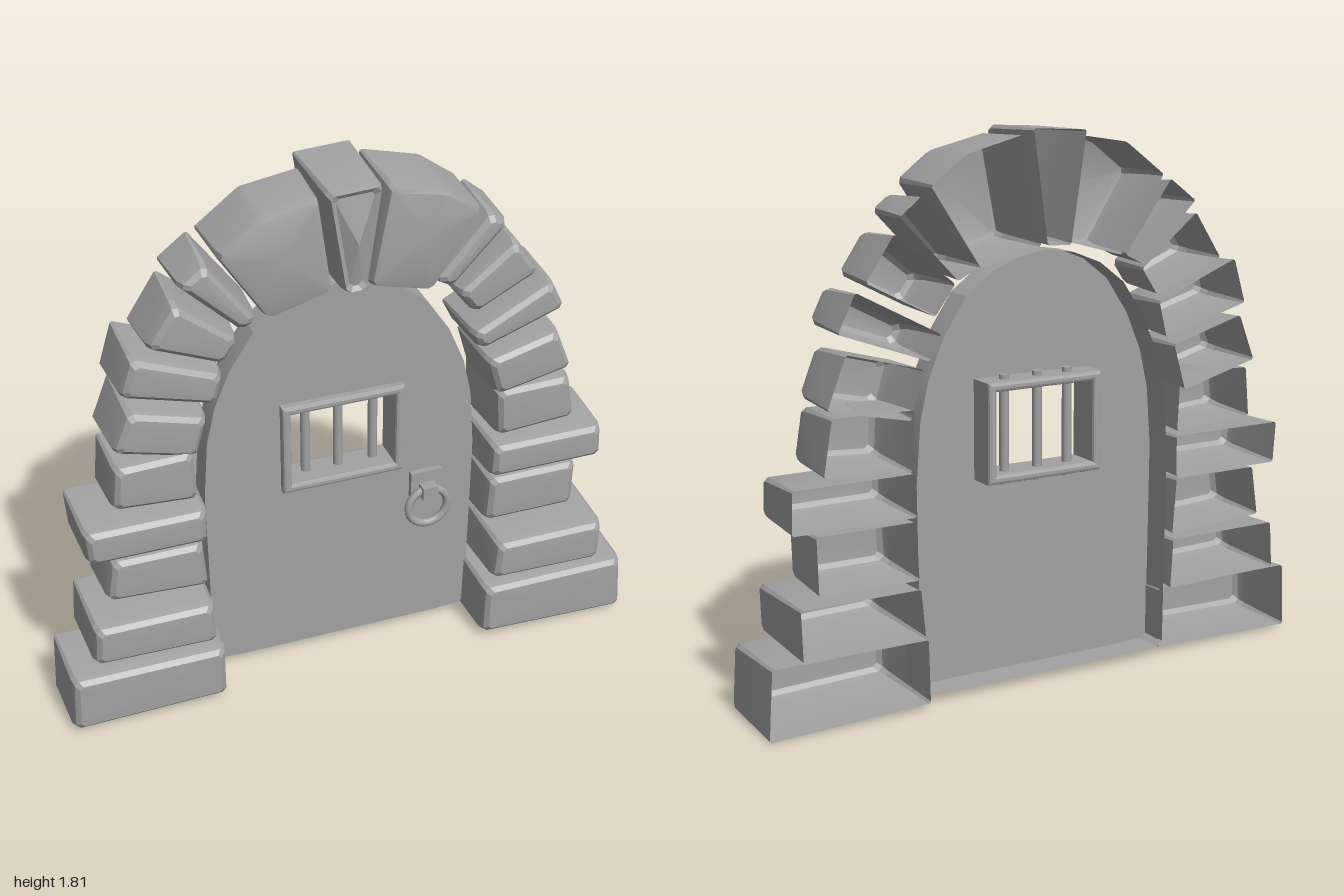
import * as THREE from 'three';
import { toCreasedNormals } from 'three/addons/utils/BufferGeometryUtils.js';

// Joins loops of equal length into a skin; an optional cap point closes the last loop.
function loft(loops, cap) {
  const n = loops[0].length, pos = loops.flat(), index = [];
  for (let k = 0; k < loops.length - 1; k++) {
    for (let i = 0; i < n; i++) {
      const j = (i + 1) % n, a = k * n + i, b = k * n + j;
      index.push(a, b, b + n, a, b + n, a + n);
    }
  }
  if (cap) {
    const c = pos.push(cap) - 1, s = (loops.length - 1) * n;
    for (let i = 0; i < n; i++) index.push(s + i, s + (i + 1) % n, c);
  }
  const g = new THREE.BufferGeometry();
  g.setAttribute('position', new THREE.Float32BufferAttribute(pos.flat(), 3));
  g.setIndex(index);
  return toCreasedNormals(g, 0.3);
}

// Stone hollow at the back: outline given clockwise, with chamfered corners and a bevelled front.
function stoneGeometry(outline, front, back, bulge = 0.006) {
  const p = [];
  for (let i = 0; i < outline.length; i += 2) p.push(new THREE.Vector2(outline[i], outline[i + 1]));
  p.reverse();
  const ring = (inset, chamfer, z) => p.flatMap((v, i) => {
    const toPrev = p[(i + p.length - 1) % p.length].clone().sub(v).normalize();
    const toNext = p[(i + 1) % p.length].clone().sub(v).normalize();
    const inward = toPrev.clone().add(toNext);
    // obtuse corners need a longer push to keep the bevel even
    const sin = Math.abs(toPrev.cross(toNext));
    const c = v.clone().addScaledVector(inward, inset / Math.max(sin, 0.5));
    return [toPrev, toNext].map((d) => [c.x + d.x * chamfer, c.y + d.y * chamfer, z]);
  });
  const mid = p.reduce((s, v) => s.add(v), new THREE.Vector2()).divideScalar(p.length);
  return loft([
    ring(0, 0.006, back),
    ring(0.005, 0.012, front - 0.05),
    ring(0.012, 0.014, front - 0.02),
    ring(0.027, 0.012, front - bulge),
  ], [mid.x, mid.y, front]);
}

// Outline, front z, back z, bulge; listed from the ground up
const rightStones = [
  [[0.455, 0.23, 0.985, 0.23, 1, 0, 0.45, 0.02], 0.185, -0.15],
  [[0.495, 0.41, 0.9, 0.41, 0.895, 0.24, 0.48, 0.25], 0.185, -0.18],
  [[0.495, 0.62, 0.83, 0.62, 0.825, 0.43, 0.485, 0.43], 0.09, -0.15],
  [[0.49, 0.77, 0.9, 0.77, 0.905, 0.63, 0.485, 0.63], 0.12, -0.14],
  [[0.5, 0.975, 0.775, 0.98, 0.805, 0.8, 0.51, 0.78], 0.1, -0.16],
  [[0.46, 1.095, 0.72, 1.165, 0.785, 1, 0.505, 0.94], 0.1, -0.15],
  [[0.405, 1.2, 0.69, 1.35, 0.75, 1.23, 0.445, 1.12], 0.09, -0.16],
  [[0.355, 1.35, 0.56, 1.515, 0.655, 1.375, 0.425, 1.255], 0.08, -0.16],
  [[0.275, 1.4, 0.47, 1.625, 0.545, 1.565, 0.35, 1.36], 0.07, -0.17],
  [[0.115, 1.79, 0.31, 1.74, 0.435, 1.65, 0.265, 1.39, 0.05, 1.445], 0.115, -0.16, 0.015],
];
const leftStones = [
  [[-0.99, 0.23, -0.46, 0.23, -0.46, 0.02, -1, 0.01], 0.175, -0.09],
  [[-0.9, 0.41, -0.49, 0.41, -0.48, 0.24, -0.91, 0.25], 0.16, -0.13],
  [[-0.815, 0.62, -0.5, 0.62, -0.485, 0.43, -0.84, 0.45], 0.1, -0.13],
  [[-0.905, 0.77, -0.49, 0.77, -0.49, 0.63, -0.895, 0.63], 0.13, -0.14],
  [[-0.785, 0.97, -0.515, 0.98, -0.505, 0.78, -0.8, 0.8], 0.1, -0.12],
  [[-0.725, 1.16, -0.46, 1.085, -0.505, 0.93, -0.785, 1.005], 0.09, -0.16],
  [[-0.705, 1.35, -0.405, 1.23, -0.435, 1.11, -0.75, 1.2], 0.09, -0.15],
  [[-0.56, 1.51, -0.35, 1.34, -0.41, 1.25, -0.66, 1.355], 0.09, -0.13],
  [[-0.457, 1.625, -0.285, 1.39, -0.355, 1.355, -0.555, 1.55], 0.09, -0.13],
  [[-0.435, 1.64, -0.29, 1.75, -0.1, 1.78, -0.055, 1.45, -0.275, 1.39], 0.11, -0.12, 0.015],
];
const keystone = [[-0.095, 1.8, 0.095, 1.81, 0.045, 1.45, -0.04, 1.445], 0.14, -0.19, 0.03];

function rectangle(Type, x0, y0, x1, y1) {
  return new Type([[x0, y0], [x1, y0], [x1, y1], [x0, y1]].map((q) => new THREE.Vector2(...q)));
}

export function createModel() {
  const model = new THREE.Group();
  const stoneGrey = new THREE.MeshStandardMaterial({ color: 0xa2a2a2, side: THREE.DoubleSide });
  stoneGrey.name = 'grey';
  const add = (name, geometry, parent = model, x = 0, y = 0, z = 0) => {
    const mesh = new THREE.Mesh(geometry, stoneGrey);
    mesh.name = name;
    mesh.position.set(x, y, z);
    parent.add(mesh);
    return mesh;
  };

  // Stone arch
  const arch = new THREE.Group();
  arch.name = 'stoneArch';
  model.add(arch);
  leftStones.forEach((s, i) => add(`archStoneNegativeX${i + 1}`, stoneGeometry(...s), arch));
  rightStones.forEach((s, i) => add(`archStonePositiveX${i + 1}`, stoneGeometry(...s), arch));
  add('keystone', stoneGeometry(...keystone), arch);

  // Door: front panel with a window opening and a rim running back from its edge
  const half = [[0.35, 0.03], [0.44, 0.035], [0.463, 0.05], [0.47, 0.72], [0.455, 0.92], [0.425, 1.05],
    [0.37, 1.18], [0.29, 1.3], [0.2, 1.37], [0.1, 1.41]];
  const outline = [...half, [0, 1.425], ...half.map(([x, y]) => [-x, y]).reverse()];
  const doorFront = -0.01, doorBack = -0.11;
  const panel = new THREE.Shape(outline.map((q) => new THREE.Vector2(...q)));
  panel.holes.push(rectangle(THREE.Path, -0.19, 0.71, 0.19, 0.99));
  add('doorPanel', new THREE.ShapeGeometry(panel), model, 0, 0, doorFront);
  add('doorRim', loft([doorBack, doorFront].map((z) => outline.map(([x, y]) => [x, y, z]))));

  // Window frame, deep enough to reach the back of the door
  const frame = rectangle(THREE.Shape, -0.2, 0.695, 0.2, 1.005);
  frame.holes.push(rectangle(THREE.Path, -0.19, 0.705, 0.19, 0.995));
  add('windowFrame', new THREE.ExtrudeGeometry(frame, {
    depth: 0.11, bevelThickness: 0.01, bevelSize: 0.01, bevelSegments: 2,
  }), model, 0, 0, -0.1);
  for (const x of [-0.11, 0.003, 0.125]) {
    add('windowBar', new THREE.CylinderGeometry(0.016, 0.016, 0.36, 12), model, x, 0.85, -0.055);
  }

  // Ring handle
  const handle = new THREE.Group();
  handle.name = 'ringHandle';
  handle.position.set(0.298, 0.6, doorFront);
  model.add(handle);
  add('handlePlate', new THREE.BoxGeometry(0.112, 0.1, 0.02), handle, 0, 0, 0.01);
  add('handleBracket', new THREE.BoxGeometry(0.054, 0.045, 0.05), handle, 0, -0.015, 0.035);
  add('handleRing', new THREE.TorusGeometry(0.07, 0.014, 10, 28), handle, 0, -0.08, 0.035);

  return model;
}
